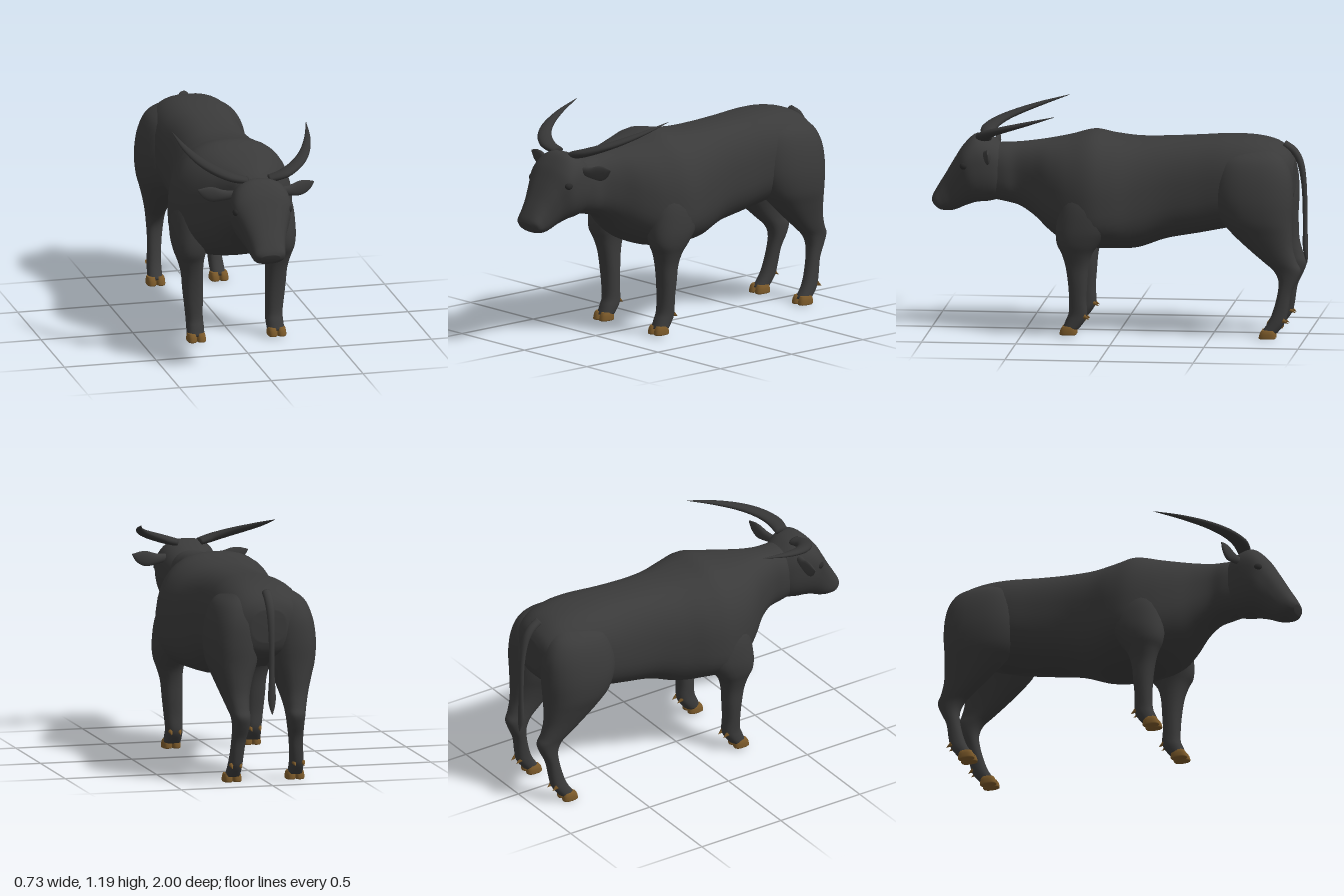
import * as THREE from 'three';

const mat = (name, color) => Object.assign(new THREE.MeshStandardMaterial({ color }), { name });

// Smooth interpolation of rows of numbers
function resample(rows, steps) {
  const out = [];
  const at = i => rows[Math.max(0, Math.min(rows.length - 1, i))];
  for (let i = 0; i < rows.length - 1; i++) {
    for (let k = 0; k < steps; k++) {
      const t = k / steps;
      out.push(rows[i].map((p1, c) => {
        const p0 = at(i - 1)[c], p2 = at(i + 1)[c], p3 = at(i + 2)[c];
        return p1 + 0.5 * t * (p2 - p0 + t * (2 * p0 - 5 * p1 + 4 * p2 - p3 + t * (3 * (p1 - p2) + p3 - p0)));
      }));
    }
  }
  out.push(rows[rows.length - 1]);
  return out;
}

// Skin closed rings of points, cap both ends, and turn the faces outward
function skin(rings) {
  const n = rings[0].length, pts = rings.flat(), idx = [];
  for (let r = 0; r < rings.length - 1; r++) {
    for (let i = 0; i < n; i++) {
      const a = r * n + i, b = r * n + (i + 1) % n;
      idx.push(a, b, a + n, b, b + n, a + n);
    }
  }
  [0, rings.length - 1].forEach((r, end) => {
    const mid = new THREE.Vector3();
    rings[r].forEach(p => mid.addScaledVector(p, 1 / n));
    const c = pts.push(mid) - 1;
    for (let i = 0; i < n; i++) {
      const a = r * n + i, b = r * n + (i + 1) % n;
      idx.push(c, end ? a : b, end ? b : a);
    }
  });
  let volume = 0;
  const cross = new THREE.Vector3();
  for (let i = 0; i < idx.length; i += 3) {
    volume += pts[idx[i]].dot(cross.crossVectors(pts[idx[i + 1]], pts[idx[i + 2]]));
  }
  if (volume < 0) idx.reverse();
  const g = new THREE.BufferGeometry().setFromPoints(pts);
  g.setIndex(idx);
  g.computeVertexNormals();
  return g;
}

const ring = (n, e, fn) => Array.from({ length: n }, (_, i) => {
  const a = (i / n) * Math.PI * 2, c = Math.cos(a), s = Math.sin(a);
  return fn(Math.sign(c) * Math.abs(c) ** (2 / e), Math.sign(s) * Math.abs(s) ** (2 / e));
});

// Rows: top z, top y, bottom z, bottom y, half width, height fraction of the widest level
const trunk = (rows, e) => skin(resample(rows, 5).map(([zt, yt, zb, yb, w, f]) =>
  ring(40, e, (c, s) => {
    const h = s > 0 ? f + s * (1 - f) : f + s * f;
    return new THREE.Vector3(c * w, yb + (yt - yb) * h, zb + (zt - zb) * h);
  })));

// Rows: y, inner x, outer x, back z, front z
const limb = (rows, side, e = 2.3) => skin(resample(rows, 4).map(([y, x0, x1, z0, z1]) =>
  ring(28, e, (c, s) => new THREE.Vector3(
    side * ((x0 + x1) / 2 + c * (x1 - x0) / 2), y, (z0 + z1) / 2 + s * (z1 - z0) / 2))));

// Rows: x, y, z, half width, half height; the cross-section is set by a reference direction
function sweep(rows, side, ref) {
  const rs = resample(rows, 6).map(([x, ...rest]) => [x * side, ...rest]);
  const P = r => new THREE.Vector3(r[0], r[1], r[2]);
  return skin(rs.map((r, i) => {
    const t = P(rs[Math.min(i + 1, rs.length - 1)]).sub(P(rs[Math.max(i - 1, 0)])).normalize();
    const a = new THREE.Vector3().crossVectors(t, ref).normalize();
    const b = new THREE.Vector3().crossVectors(a, t);
    return ring(16, 2, (c, s) => P(r).addScaledVector(a, c * r[3]).addScaledVector(b, s * r[4]));
  }));
}

const TORSO = [
  [0.70, 0.99, 0.68, 0.70, 0.115, 0.5],
  [0.62, 0.998, 0.60, 0.685, 0.125, 0.5],
  [0.54, 1.002, 0.53, 0.665, 0.125, 0.48],
  [0.45, 1.012, 0.45, 0.615, 0.165, 0.45],
  [0.36, 1.025, 0.36, 0.535, 0.235, 0.42],
  [0.26, 1.045, 0.26, 0.475, 0.295, 0.38],
  [0.14, 1.074, 0.14, 0.458, 0.332, 0.33],
  [0.03, 1.056, 0.03, 0.455, 0.318, 0.36],
  [-0.10, 1.043, -0.10, 0.458, 0.27, 0.42],
  [-0.25, 1.046, -0.25, 0.508, 0.235, 0.45],
  [-0.42, 1.055, -0.42, 0.54, 0.23, 0.45],
  [-0.58, 1.064, -0.58, 0.572, 0.24, 0.48],
  [-0.72, 1.06, -0.72, 0.60, 0.235, 0.5],
  [-0.83, 1.035, -0.83, 0.65, 0.21, 0.5],
  [-0.90, 0.985, -0.90, 0.70, 0.165, 0.5],
  [-0.93, 0.93, -0.925, 0.76, 0.09, 0.5],
];
const HEAD = [
  [0.63, 0.99, 0.61, 0.73, 0.11, 0.55],
  [0.69, 1.03, 0.645, 0.70, 0.138, 0.6],
  [0.765, 1.042, 0.70, 0.686, 0.156, 0.62],
  [0.83, 0.987, 0.76, 0.68, 0.158, 0.65],
  [0.88, 0.91, 0.82, 0.66, 0.127, 0.62],
  [0.93, 0.825, 0.865, 0.64, 0.103, 0.55],
  [0.965, 0.768, 0.905, 0.631, 0.092, 0.5],
  [0.992, 0.72, 0.95, 0.636, 0.082, 0.5],
  [1.0, 0.695, 0.98, 0.655, 0.05, 0.5],
];
const FRONT_LEG = [
  [0.88, 0.10, 0.24, 0.06, 0.23],
  [0.74, 0.10, 0.318, 0.01, 0.29],
  [0.60, 0.12, 0.336, 0.02, 0.315],
  [0.51, 0.155, 0.327, 0.08, 0.312],
  [0.45, 0.168, 0.307, 0.122, 0.285],
  [0.38, 0.172, 0.288, 0.142, 0.265],
  [0.29, 0.172, 0.28, 0.15, 0.252],
  [0.20, 0.172, 0.27, 0.156, 0.247],
  [0.13, 0.172, 0.262, 0.152, 0.25],
  [0.09, 0.17, 0.262, 0.162, 0.265],
  [0.045, 0.172, 0.264, 0.195, 0.282],
];
const HIND_LEG = [
  [1.01, 0.06, 0.16, -0.82, -0.62],
  [0.96, 0.03, 0.235, -0.885, -0.55],
  [0.87, 0.015, 0.277, -0.925, -0.52],
  [0.75, 0.015, 0.295, -0.935, -0.515],
  [0.64, 0.03, 0.287, -0.93, -0.55],
  [0.56, 0.06, 0.262, -0.93, -0.615],
  [0.48, 0.085, 0.235, -0.935, -0.70],
  [0.41, 0.098, 0.213, -0.955, -0.78],
  [0.365, 0.10, 0.20, -0.975, -0.83],
  [0.31, 0.105, 0.195, -0.957, -0.857],
  [0.24, 0.117, 0.195, -0.925, -0.853],
  [0.15, 0.127, 0.20, -0.91, -0.83],
  [0.09, 0.13, 0.206, -0.895, -0.805],
  [0.035, 0.132, 0.21, -0.855, -0.768],
];
const HORN = [
  [0.06, 1.03, 0.71, 0.036, 0.02],
  [0.14, 1.052, 0.712, 0.042, 0.023],
  [0.22, 1.082, 0.665, 0.037, 0.021],
  [0.285, 1.115, 0.58, 0.029, 0.017],
  [0.335, 1.155, 0.455, 0.017, 0.011],
  [0.365, 1.198, 0.31, 0.001, 0.001],
];
const EAR = [
  [0.12, 0.955, 0.70, 0.018, 0.02],
  [0.18, 0.95, 0.69, 0.018, 0.029],
  [0.235, 0.955, 0.68, 0.016, 0.04],
  [0.28, 0.968, 0.675, 0.01, 0.03],
  [0.316, 0.983, 0.672, 0.002, 0.003],
];
const TAIL = [
  [0, 1.02, -0.87, 0.024, 0.02],
  [0, 0.98, -0.925, 0.024, 0.02],
  [0, 0.91, -0.96, 0.021, 0.018],
  [0, 0.78, -0.978, 0.016, 0.014],
  [0, 0.60, -0.982, 0.015, 0.012],
  [0, 0.46, -0.984, 0.021, 0.014],
  [0, 0.385, -0.992, 0.003, 0.003],
];

export function createModel() {
  const hide = mat('hide', 0x3a3a3a), horn = mat('horn', 0x353535);
  const hoof = mat('hoof', 0x7c5a2a), eye = mat('eye', 0x2a2a2a);
  const model = new THREE.Group();
  model.name = 'buffalo';
  const add = (name, geo, material) => {
    const m = new THREE.Mesh(geo, material);
    m.name = name;
    model.add(m);
    return m;
  };
  const up = new THREE.Vector3(0, 1, 0), forward = new THREE.Vector3(0, 0, 1);

  add('torso', trunk(TORSO, 2.5), hide);
  add('head', trunk(HEAD, 2.4), hide);
  add('tail', sweep(TAIL, 1, forward), hide);

  for (const [label, s] of [['left', 1], ['right', -1]]) {
    add(label + 'Horn', sweep(HORN, s, up), horn);
    add(label + 'Ear', sweep(EAR, s, up), hide);
    const ball = add(label + 'Eye', new THREE.SphereGeometry(1, 20, 14), eye);
    ball.scale.set(0.02, 0.022, 0.026);
    ball.position.set(s * 0.142, 0.89, 0.812);

    add(label + 'FrontLeg', limb(FRONT_LEG, s), hide);
    add(label + 'HindLeg', limb(HIND_LEG, s), hide);

    // Cloven hooves with a pair of dewclaws behind each foot
    for (const [part, x, z, y, dz] of [['Front', 0.219, 0.25, 0.014, 0.152], ['Hind', 0.172, -0.803, 0.004, -0.9]]) {
      for (const k of [-1, 1]) {
        const c = x + k * 0.024;
        add(label + part + 'Hoof', limb([
          [y + 0.046, c - 0.02, c + 0.02, z - 0.035, z + 0.03],
          [y + 0.03, c - 0.025, c + 0.025, z - 0.042, z + 0.04],
          [y + 0.006, c - 0.026, c + 0.026, z - 0.044, z + 0.046],
          [y, c - 0.023, c + 0.023, z - 0.04, z + 0.042],
        ], s, 2.5), hoof);
        const claw = add(label + part + 'Dewclaw', new THREE.ConeGeometry(0.013, 0.036, 10), hoof);
        claw.position.set(s * (x + k * 0.024), y + 0.092, dz);
        claw.rotation.x = -2.1;
      }
    }
  }
  return model;
}
